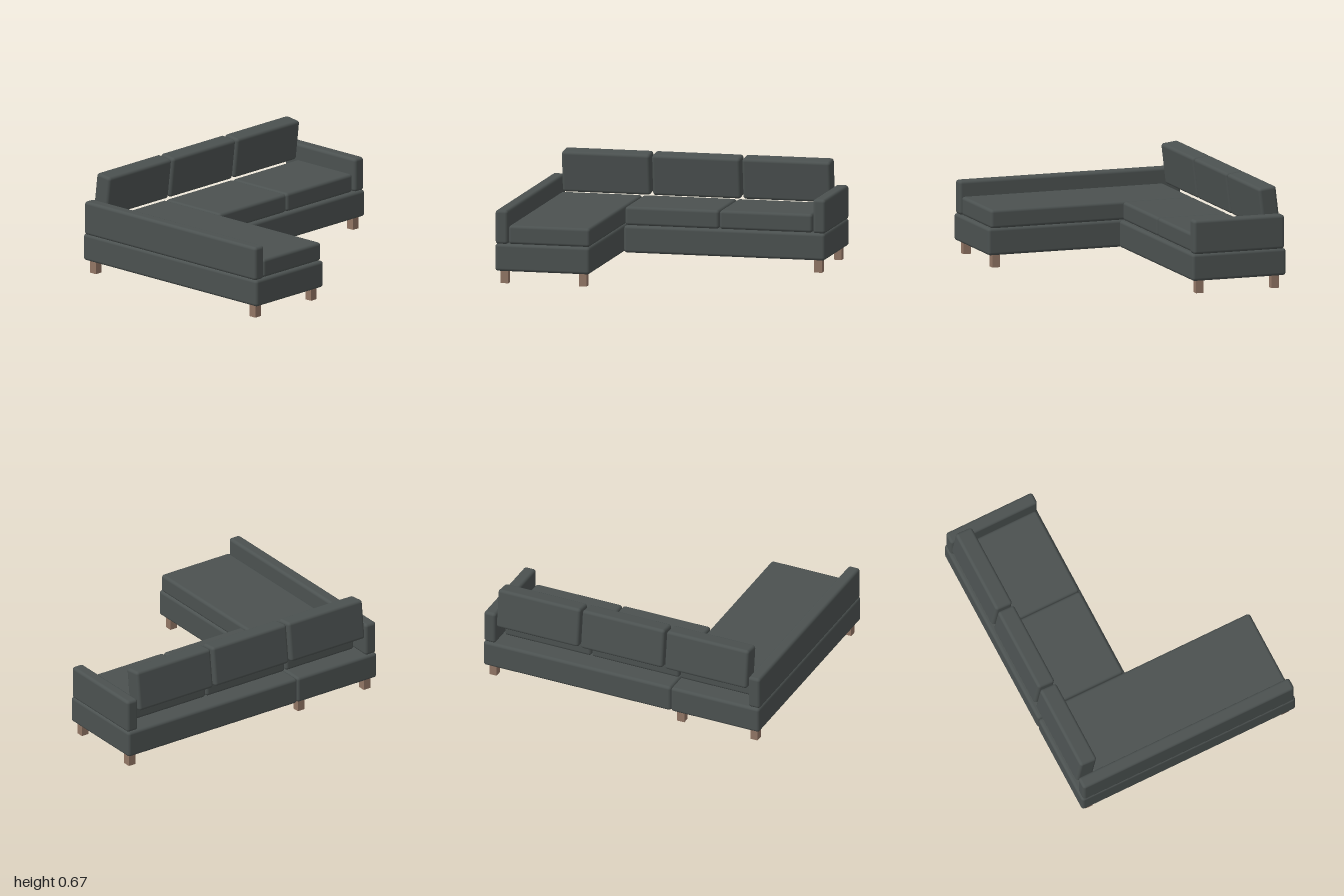
import * as THREE from 'three';
import { RoundedBoxGeometry } from 'three/addons/geometries/RoundedBoxGeometry.js';

export function createModel() {
  const model = new THREE.Group();
  model.name = 'cornerSofa';

  const fabric = new THREE.MeshStandardMaterial({ color: 0x4b5150 });
  fabric.name = 'charcoal fabric';
  const wood = new THREE.MeshStandardMaterial({ color: 0x917564 });
  wood.name = 'brown wood';

  // Padded block spanning [min, max] on each axis
  function block(name, [x0, x1], [y0, y1], [z0, z1], radius = 0.02) {
    const mesh = new THREE.Mesh(
      new RoundedBoxGeometry(x1 - x0, y1 - y0, z1 - z0, 4, radius), fabric);
    mesh.name = name;
    mesh.position.set((x0 + x1) / 2, (y0 + y1) / 2, (z0 + z1) / 2);
    model.add(mesh);
    return mesh;
  }

  // Bases of the chaise and the main seat
  block('chaiseBase', [-1, -0.36], [0.085, 0.265], [-0.785, 0.785]);
  block('mainBase', [-0.36, 1], [0.085, 0.265], [-0.785, -0.13]);

  // Arms
  block('rightArm', [-1, -0.915], [0.262, 0.488], [-0.775, 0.775]);
  block('leftArm', [0.915, 1], [0.262, 0.488], [-0.775, -0.14]);

  // Seat cushions
  const seatY = [0.263, 0.387];
  block('chaiseCushion', [-0.912, -0.363], seatY, [-0.65, 0.765]);
  block('middleSeatCushion', [-0.357, 0.277], seatY, [-0.65, -0.155]);
  block('leftSeatCushion', [0.281, 0.908], seatY, [-0.65, -0.155]);

  // Back cushions, tipped forward at the top
  for (const x of [-0.61, 0, 0.61]) {
    const cushion = block('backCushion', [x - 0.298, x + 0.298], [0.388, 0.662], [-0.766, -0.644]);
    cushion.rotation.x = 0.12;
  }

  // Square legs
  const legGeometry = new THREE.BoxGeometry(0.052, 0.09, 0.052);
  const legSpots = [
    [-0.945, 0.72], [-0.415, 0.72], [0.945, -0.19],
    [-0.945, -0.72], [-0.415, -0.72], [0.945, -0.72],
  ];
  for (const [x, z] of legSpots) {
    const leg = new THREE.Mesh(legGeometry, wood);
    leg.name = 'leg';
    leg.position.set(x, 0.045, z);
    model.add(leg);
  }

  return model;
}
